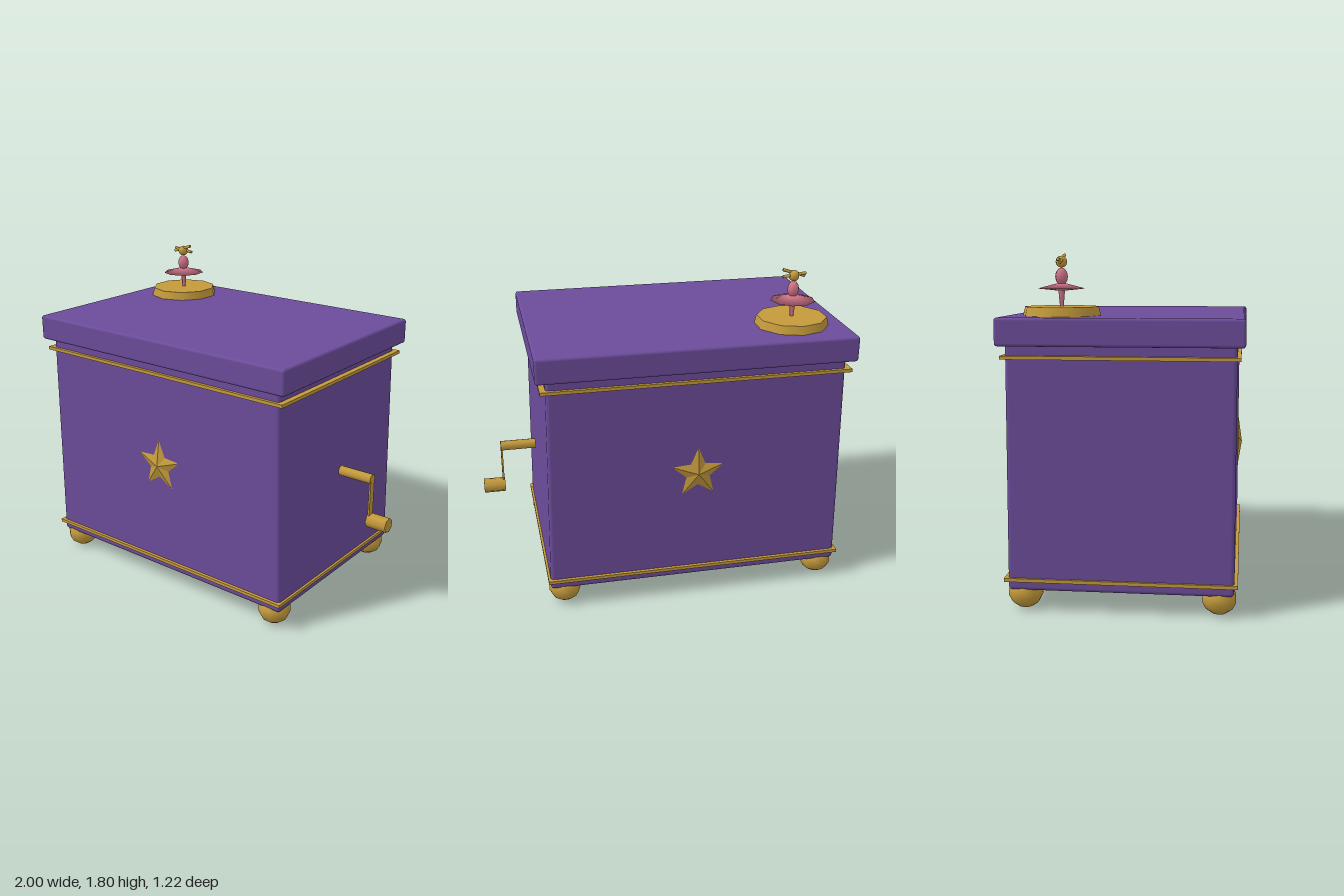
import * as THREE from 'three';
import { RoundedBoxGeometry } from 'three/addons/geometries/RoundedBoxGeometry.js';

export function createModel() {
  const model = new THREE.Group();
  model.name = 'musicBox';
  const mat = (name, color) => {
    const m = new THREE.MeshStandardMaterial({ color });
    m.name = name;
    return m;
  };
  const purple = mat('purple lacquer', 0x6b4c9a);
  const gold = mat('gold', 0xc49a3c);
  const pink = mat('pink', 0xcf7488);

  const add = (parent, name, geometry, material, x = 0, y = 0, z = 0) => {
    const mesh = new THREE.Mesh(geometry, material);
    mesh.name = name;
    mesh.position.set(x, y, z);
    parent.add(mesh);
    return mesh;
  };
  const cx = -0.14; // centre of the box; the crank takes the rest of the width

  // Body, slightly narrower at the top
  const body = new RoundedBoxGeometry(1.63, 1.25, 1.14, 2, 0.02);
  const p = body.attributes.position;
  for (let i = 0; i < p.count; i++) {
    const s = 1 - 0.012 * (p.getY(i) / 0.625);
    p.setX(i, p.getX(i) * s);
  }
  add(model, 'body', body, purple, cx, 0.735, 0);

  // Lid
  add(model, 'lid', new RoundedBoxGeometry(1.72, 0.14, 1.22, 2, 0.015), purple, cx, 1.417, 0);

  // Gold trim bands
  for (const [name, y] of [['lowerTrim', 0.166], ['upperTrim', 1.291]]) {
    add(model, name, new THREE.BoxGeometry(1.674, 0.018, 1.176), gold, cx, y, 0);
  }

  // Ball feet
  const footGeo = new THREE.SphereGeometry(0.09, 10, 7);
  for (const x of [-0.885, 0.602]) {
    for (const z of [-0.495, 0.495]) {
      add(model, 'foot', footGeo, gold, x, 0.083, z).scale.y = 0.92;
    }
  }

  // Faceted star: a rim of ten points raised to a central peak
  const rim = [];
  for (let i = 0; i < 10; i++) {
    const a = Math.PI / 2 + (i * Math.PI) / 5;
    const r = i % 2 ? 0.068 : 0.152;
    rim.push([r * Math.cos(a), r * Math.sin(a), 0]);
  }
  const starVerts = [];
  rim.forEach((a, i) => starVerts.push(0, 0, 0.022, ...a, ...rim[(i + 1) % 10]));
  const starGeo = new THREE.BufferGeometry();
  starGeo.setAttribute('position', new THREE.Float32BufferAttribute(starVerts, 3));
  starGeo.computeVertexNormals();
  add(model, 'frontStar', starGeo, gold, cx, 0.755, 0.573);
  add(model, 'backStar', starGeo, gold, cx, 0.755, -0.573).rotation.y = Math.PI;

  // Crank
  const crank = new THREE.Group();
  crank.name = 'crank';
  model.add(crank);
  add(crank, 'crankShaft', new THREE.CylinderGeometry(0.029, 0.029, 0.2, 8), gold, 0.79, 0.748, 0)
    .rotation.z = Math.PI / 2;
  add(crank, 'crankArm', new THREE.BoxGeometry(0.01, 0.27, 0.038), gold, 0.886, 0.632, 0);
  add(crank, 'crankHandle', new THREE.CylinderGeometry(0.042, 0.042, 0.122, 7), gold, 0.939, 0.501, -0.004)
    .rotation.z = Math.PI / 2;

  // Dancer on a round plinth
  const dancer = new THREE.Group();
  dancer.name = 'dancer';
  dancer.position.set(-0.712, 1.485, -0.325);
  model.add(dancer);
  add(dancer, 'plinth', new THREE.CylinderGeometry(0.19, 0.202, 0.048, 10), gold, 0, 0.024, 0);
  add(dancer, 'leg', new THREE.CylinderGeometry(0.018, 0.009, 0.1, 6), pink, 0, 0.09, 0);
  const tutu = new THREE.LatheGeometry(
    [[0, 0.125], [0.122, 0.138], [0.03, 0.162], [0, 0.166]].map((q) => new THREE.Vector2(...q)), 9);
  add(dancer, 'tutu', tutu, pink);
  add(dancer, 'bodice', new THREE.SphereGeometry(0.033, 8, 6), pink, 0, 0.198, 0).scale.y = 1.35;
  add(dancer, 'head', new THREE.SphereGeometry(0.03, 8, 6), gold, 0, 0.272, 0);

  // Raised arms, crossing behind and before the head
  const armGeo = new THREE.CylinderGeometry(0.009, 0.009, 0.13, 5);
  for (const [tilt, y, z] of [[0.3, 0.287, 0.005], [-0.12, 0.277, -0.005]]) {
    add(dancer, 'arm', armGeo, gold, 0, y, z).rotation.z = Math.PI / 2 + tilt;
  }
  return model;
}
